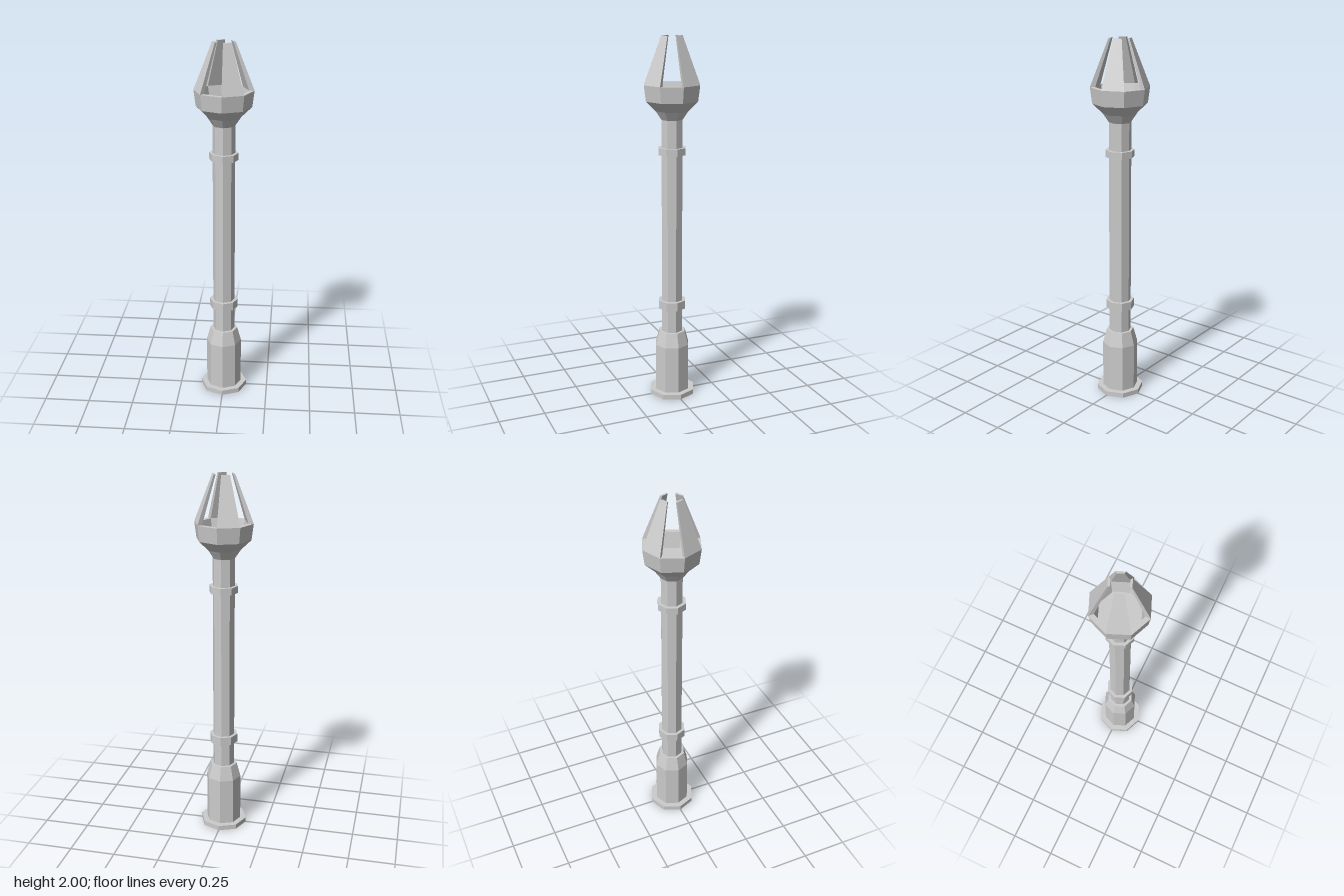
import * as THREE from 'three';

const SIDES = 8;

export function createModel() {
  const group = new THREE.Group();
  const material = new THREE.MeshStandardMaterial({ color: 0xcccccc, flatShading: true });

  const add = (name, geometry) => {
    const mesh = new THREE.Mesh(geometry, material);
    mesh.name = name;
    group.add(mesh);
    return mesh;
  };

  // Octagonal turned part; the profile is a list of [radius, height]
  const turned = (name, profile) =>
    add(name, new THREE.LatheGeometry(profile.map(([r, y]) => new THREE.Vector2(r, y)), SIDES));

  // Straight octagonal drum between two heights
  const drum = (name, r, y0, y1) => turned(name, [[0, y0], [r, y0], [r, y1], [0, y1]]);

  drum('basePlate', 0.13, 0, 0.027);
  turned('pommel', [[0, 0.027], [0.098, 0.027], [0.098, 0.295], [0.076, 0.375], [0, 0.375]]);
  drum('shaft', 0.06, 0.375, 1.565);
  drum('lowerCollar', 0.078, 0.51, 0.557);
  drum('upperCollar', 0.078, 1.378, 1.416);

  // Flared cup, open at the top with a sunken floor
  turned('cup', [
    [0.06, 1.565], [0.092, 1.612], [0.147, 1.665], [0.158, 1.75],
    [0.13, 1.75], [0.112, 1.668], [0, 1.668],
  ]);

  // One prong: a box bent onto a single octagon side, leaning inwards to the tip
  const prongGeometry = new THREE.BoxGeometry(1, 1, 1);
  const pos = prongGeometry.attributes.position;
  for (let i = 0; i < pos.count; i++) {
    const angle = (pos.getX(i) + 0.5) * Math.PI / 4;
    const top = pos.getY(i) > 0;
    const outer = pos.getZ(i) > 0;
    const r = top ? (outer ? 0.06 : 0.048) : (outer ? 0.158 : 0.13);
    pos.setXYZ(i, Math.sin(angle) * r, top ? 2 : 1.75, Math.cos(angle) * r);
  }
  prongGeometry.computeVertexNormals();

  // Four prongs on every other side of the cup
  for (let i = 0; i < 4; i++) {
    add('prong' + (i + 1), prongGeometry).rotation.y = i * Math.PI / 2;
  }

  return group;
}
